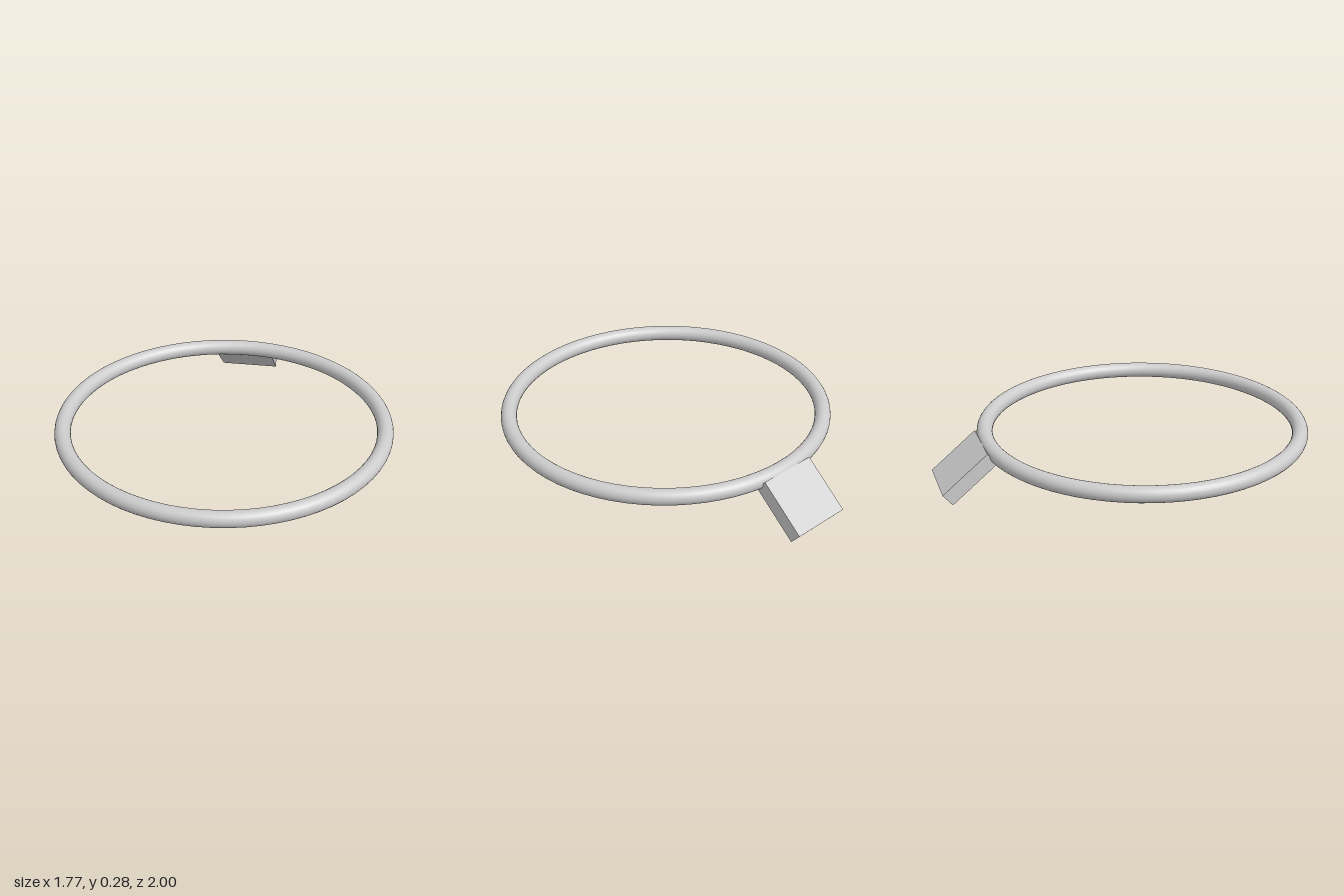
import * as THREE from 'three';

export function createModel() {
  const model = new THREE.Group();
  const material = new THREE.MeshStandardMaterial({ color: 0xcccccc });

  // Horizontal round hoop
  const ring = new THREE.Mesh(new THREE.TorusGeometry(0.841, 0.042, 24, 72), material);
  ring.name = 'ring';
  ring.rotation.x = Math.PI / 2;
  ring.position.set(0, 0.238, 0.117);
  model.add(ring);

  // Mounting plate sloping down and back from the hoop
  const inner = new THREE.Vector2(-0.737, 0.227); // (z, y) of the plate's end centres
  const outer = new THREE.Vector2(-0.976, 0.031);
  const run = inner.clone().sub(outer);
  const plate = new THREE.Mesh(new THREE.BoxGeometry(0.322, 0.078, run.length()), material);
  plate.name = 'mountingPlate';
  plate.rotation.x = -Math.atan2(run.y, run.x);
  plate.position.set(-0.006, (inner.y + outer.y) / 2, (inner.x + outer.x) / 2);
  model.add(plate);

  return model;
}
